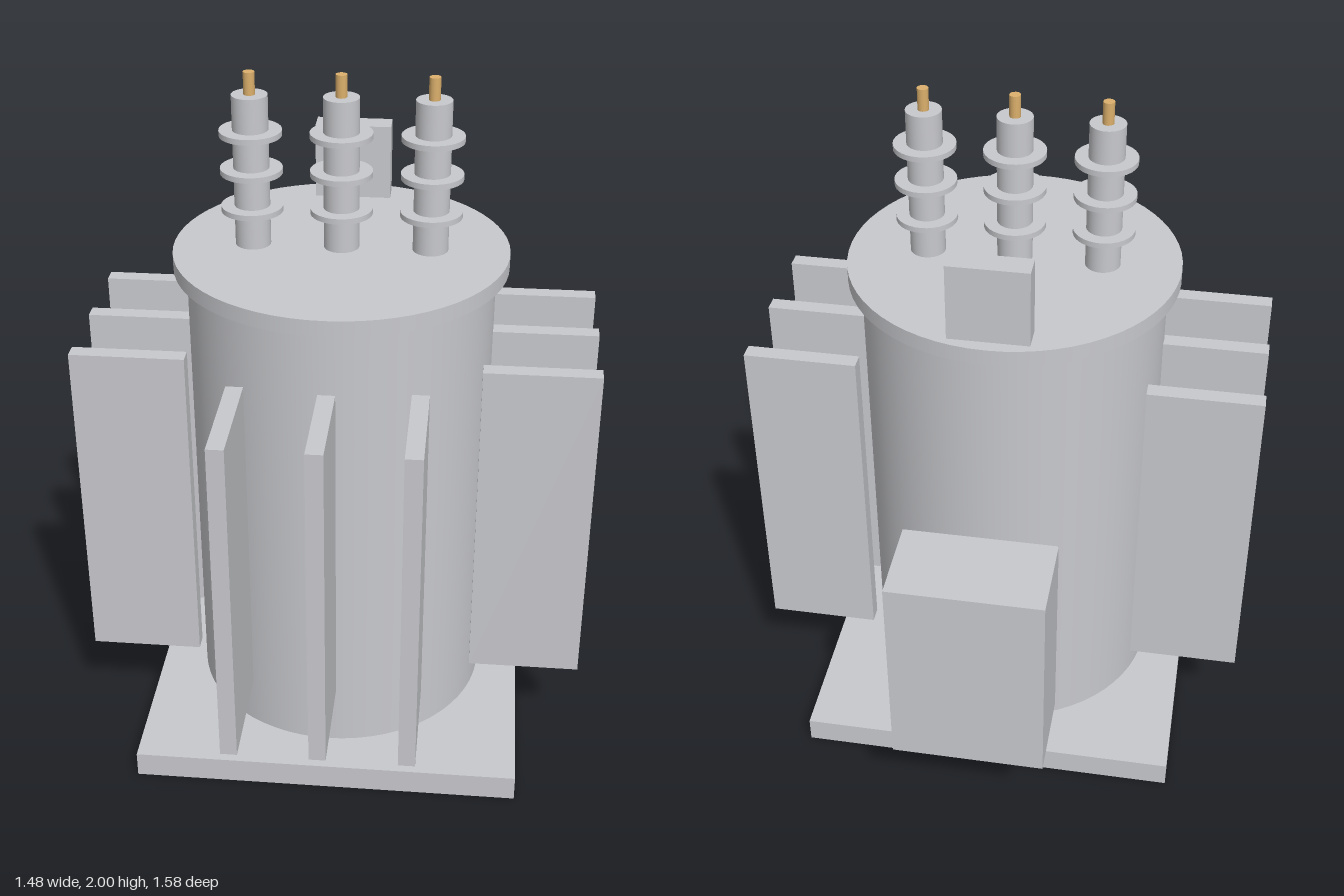
import * as THREE from 'three';

export function createModel() {
  const model = new THREE.Group();
  model.name = 'transformer';
  const grey = new THREE.MeshStandardMaterial({ color: 0xc8c9cd });
  grey.name = 'light grey steel';
  const brass = new THREE.MeshStandardMaterial({ color: 0xdcb06c });
  brass.name = 'brass';
  const axisZ = 0.05; // the tank sits slightly forward of centre

  function add(name, geometry, x, y, z, material = grey, parent = model) {
    const mesh = new THREE.Mesh(geometry, material);
    mesh.name = name;
    mesh.position.set(x, y, z);
    parent.add(mesh);
  }
  // Box given by its lower and upper limits on each axis
  function box(name, [x0, x1], [y0, y1], [z0, z1]) {
    add(name, new THREE.BoxGeometry(x1 - x0, y1 - y0, z1 - z0),
      (x0 + x1) / 2, (y0 + y1) / 2, (z0 + z1) / 2);
  }
  // Upright cylinder between two heights
  function drum(name, r, y0, y1, x, z, sides, material, parent) {
    add(name, new THREE.CylinderGeometry(r, r, y1 - y0, sides),
      x, (y0 + y1) / 2, z, material, parent);
  }

  // Base, tank and lid
  box('basePlate', [-0.561, 0.561], [0, 0.077], [axisZ - 0.561, axisZ + 0.561]);
  drum('tank', 0.437, 0.077, 1.456, 0, axisZ, 64);
  drum('lid', 0.474, 1.456, 1.502, 0, axisZ, 64);

  // Cooling fins: three each on the left, right and front
  const finY = [0.263, 1.263];
  for (const offset of [-0.25, 0, 0.25]) {
    const z = axisZ + offset;
    box('leftFin', [0.412, 0.738], finY, [z - 0.024, z + 0.024]);
    box('rightFin', [-0.738, -0.412], finY, [z - 0.024, z + 0.024]);
    box('frontFin', [offset - 0.024, offset + 0.024], finY, [axisZ + 0.412, axisZ + 0.738]);
  }

  // Insulators with sheds and terminals
  for (const x of [-0.25, 0, 0.25]) {
    const bushing = new THREE.Group();
    bushing.name = 'bushing';
    bushing.position.set(x, 0, axisZ);
    model.add(bushing);
    drum('insulator', 0.05, 1.5, 1.937, 0, 0, 32, grey, bushing);
    for (const y of [1.611, 1.721, 1.83]) {
      drum('shed', 0.087, y - 0.008, y + 0.008, 0, 0, 32, grey, bushing);
    }
    drum('terminal', 0.016, 1.937, 2, 0, 0, 12, brass, bushing);
  }

  // Control cabinet on its bracket, and the upright box on the lid
  box('cabinet', [-0.218, 0.218], [0.326, 0.952], [-0.788, -0.537]);
  box('cabinetBracket', [-0.048, 0.048], [0.642, 0.715], [-0.54, -0.37]);
  box('lidBox', [-0.112, 0.112], [1.5, 1.725], [-0.387, -0.315]);

  return model;
}
